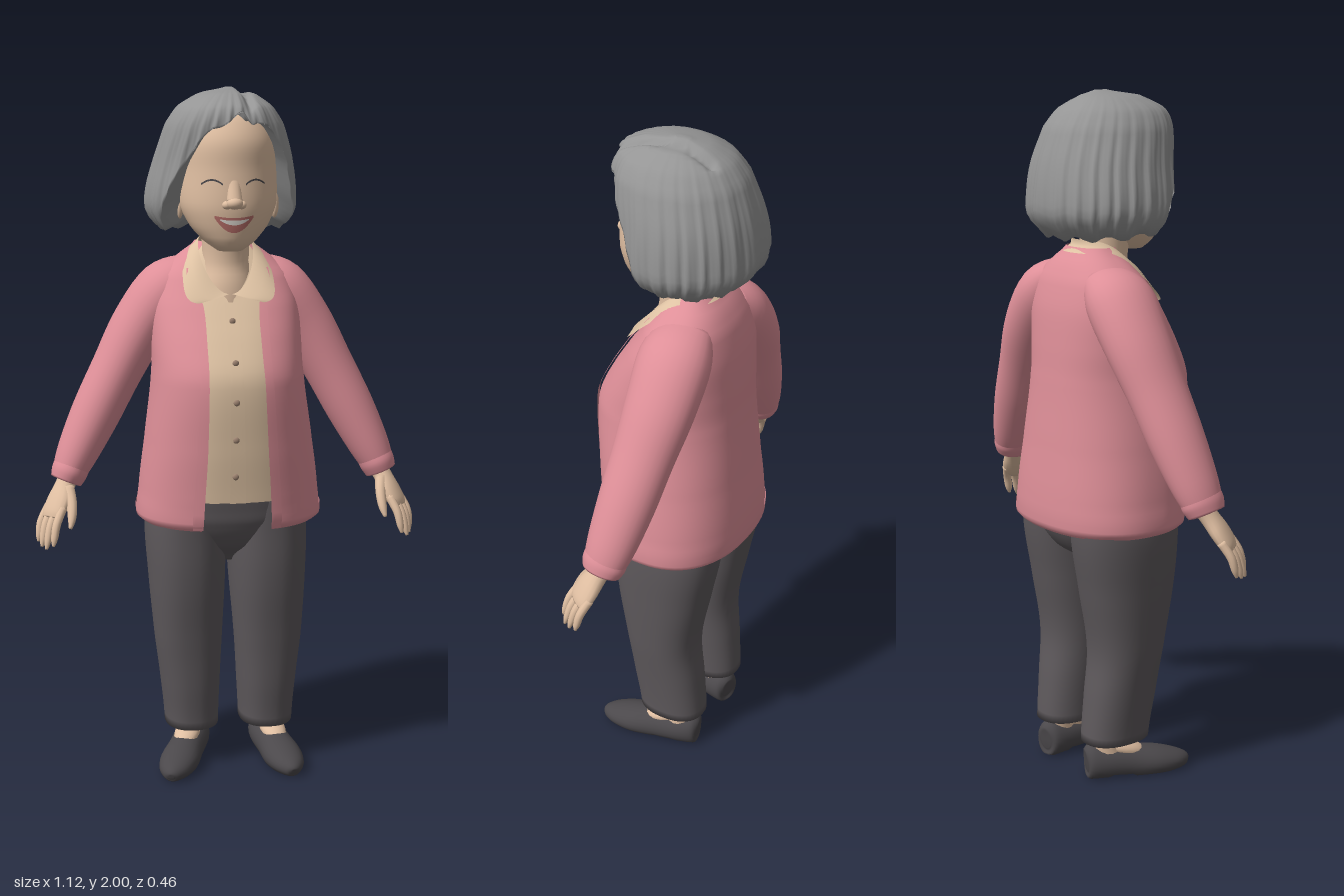
import * as THREE from 'three';

const mat = (name, color, side = THREE.FrontSide) => {
  const m = new THREE.MeshStandardMaterial({ color, side });
  m.name = name;
  return m;
};
const D = THREE.DoubleSide;
const skin = mat('skin', 0xe0bfa2), blouseTan = mat('blouse tan', 0xdec2a3, D), pink = mat('cardigan pink', 0xde8f98, D);
const grey = mat('hair grey', 0x959595, D), charcoal = mat('trouser charcoal', 0x5e595c, D), dark = mat('shoe dark', 0x4b484b);
const lipRed = mat('lip red', 0xb9706a, D), white = mat('teeth white', 0xe8e2da, D), buttonBrown = mat('button brown', 0x9c8270);

// Smooth interpolation between cross-section rows
function cr(S, i, f) {
  const p = k => S[Math.min(S.length - 1, Math.max(0, i + k))];
  const [A, B, C, E] = [p(-1), p(0), p(1), p(2)];
  return B.map((b, k) => {
    const a = A[k], c = C[k], d = E[k];
    return b + 0.5 * f * (c - a + f * (2 * a - 5 * b + 4 * c - d + f * (3 * (b - c) + d - a)));
  });
}
// Section at height y; the first column of each row is its height
function at(S, y) {
  let i = 0;
  while (i < S.length - 2 && y > S[i + 1][0]) i++;
  const f = THREE.MathUtils.clamp((y - S[i][0]) / (S[i + 1][0] - S[i][0]), 0, 1);
  const r = cr(S, i, f);
  r[0] = y;
  return r;
}
// Skin rows of points into a surface, optionally closed round with capped ends
function loft(rows, closed = true) {
  const n = rows[0].length, pos = rows.flat(2), idx = [], m = closed ? n : n - 1;
  for (let i = 0; i < rows.length - 1; i++) for (let j = 0; j < m; j++) {
    const a = i * n + j, b = i * n + (j + 1) % n;
    idx.push(a, b, b + n, a, b + n, a + n);
  }
  if (closed) [0, rows.length - 1].forEach((i, top) => {
    const c = pos.length / 3;
    pos.push(...[0, 1, 2].map(k => rows[i].reduce((s, q) => s + q[k], 0) / n));
    for (let j = 0; j < n; j++) {
      const a = i * n + j, b = i * n + (j + 1) % n;
      idx.push(...(top ? [a, b, c] : [b, a, c]));
    }
  });
  const g = new THREE.BufferGeometry();
  g.setAttribute('position', new THREE.Float32BufferAttribute(pos, 3));
  g.setIndex(idx);
  g.computeVertexNormals();
  return g;
}
// Point on a section [y, centreX, radiusX, zFront, zBack], angle 0 facing front
const BOXY = 0.86;
const pw = (v, p) => Math.sign(v) * Math.abs(v) ** p;
function ringPoint([y, cx, rx, zf, zb], a, p = 1, grow = 0) {
  return [cx + (rx + grow) * pw(Math.sin(a), p), y, (zf + zb) / 2 + ((zf - zb) / 2 + grow) * pw(Math.cos(a), p)];
}
// Upright body part; range gives the angles covered at each height
function stack(S, { n = 40, p = BOXY, steps = 30, y0 = S[0][0], y1 = S[S.length - 1][0], grow = 0, range } = {}) {
  const ys = [...Array(steps + 1).keys()].map(i => y0 + (y1 - y0) * i / steps);
  const rows = ys.map(y => {
    const r = at(S, y), [a0, a1] = range ? range(r) : [0, 2 * Math.PI];
    return Array.from({ length: n }, (_, j) => ringPoint(r, a0 + (a1 - a0) * j / (range ? n - 1 : n), p, grow));
  });
  return loft(rows, !range);
}
// Limb along a path of [x, y, z, depth radius, width radius]
function limb(S, n = 16, sub = 4, ref = new THREE.Vector3(0, 0, 1)) {
  const R = [];
  for (let i = 0; i < S.length - 1; i++) for (let k = 0; k < sub; k++) R.push(cr(S, i, k / sub));
  R.push(S[S.length - 1]);
  const P = R.map(r => new THREE.Vector3(r[0], r[1], r[2]));
  return loft(R.map((r, i) => {
    const d = P[Math.min(i + 1, P.length - 1)].clone().sub(P[Math.max(i - 1, 0)]).normalize();
    const u = ref.clone().addScaledVector(d, -ref.dot(d)).normalize(), w = d.clone().cross(u);
    return Array.from({ length: n }, (_, j) => {
      const a = j / n * 2 * Math.PI;
      return P[i].clone().addScaledVector(u, r[3] * Math.cos(a)).addScaledVector(w, r[4] * Math.sin(a)).toArray();
    });
  }));
}

const FACE = [[1.555, 0, 0.035, 0.125, 0.04], [1.575, 0, 0.068, 0.148, 0], [1.62, 0, 0.108, 0.162, -0.05],
  [1.68, 0, 0.136, 0.172, -0.1], [1.78, 0, 0.138, 0.168, -0.12], [1.86, 0, 0.132, 0.165, -0.12], [1.93, 0, 0.1, 0.125, -0.09], [1.96, 0, 0.04, 0.05, -0.03]];
// Cardigan body; the last column is half the front opening
const BODY = [[0.765, 0.008, 0.25, 0.18, -0.215, 0.1], [0.78, 0.008, 0.267, 0.192, -0.228, 0.1], [0.85, 0.008, 0.262, 0.2, -0.229, 0.097],
  [1, 0.006, 0.243, 0.217, -0.217, 0.088], [1.2, 0.002, 0.218, 0.226, -0.202, 0.08], [1.3, 0, 0.216, 0.18, -0.196, 0.078],
  [1.4, 0, 0.212, 0.118, -0.187, 0.08], [1.48, 0, 0.186, 0.065, -0.168, 0.1], [1.53, 0, 0.13, 0.03, -0.142, 0.09], [1.57, 0, 0.08, 0, -0.11, 0.06]];
const HAIR = [[1.59, -0.012, 0.16, 0.13, -0.17], [1.65, -0.012, 0.205, 0.16, -0.22], [1.7, -0.012, 0.211, 0.17, -0.227], [1.8, -0.006, 0.194, 0.175, -0.213],
  [1.9, -0.005, 0.164, 0.188, -0.18], [1.95, -0.005, 0.13, 0.17, -0.142], [1.985, 0, 0.075, 0.1, -0.085], [2, 0.01, 0.01, 0.01, -0.03]];
const HEM = [[0, 1.93], [0.5, 1.89], [0.86, 1.8], [1.1, 1.67], [1.27, 1.615], [3.15, 1.6]];

const faceZ = (x, y) => {
  const [, , rx, zf, zb] = at(FACE, y);
  return (zf + zb) / 2 + (zf - zb) / 2 * Math.sqrt(Math.max(0, 1 - (x / rx) ** 2));
};
// Thin patch following the face between two curves
function facePatch(x0, x1, lower, upper, lift) {
  const g = new THREE.PlaneGeometry(1, 1, 14, 4), q = g.attributes.position;
  for (let i = 0; i < q.count; i++) {
    const u = q.getX(i) * 2, x = (x0 + x1) / 2 + u * (x1 - x0) / 2;
    const y = THREE.MathUtils.lerp(lower(u), upper(u), q.getY(i) + 0.5);
    q.setXYZ(i, x, y, faceZ(x, y) + lift);
  }
  g.computeVertexNormals();
  return g;
}

// Bobbed hair with combed ridges and an off-centre parting
function hairGeometry() {
  const n = 180, T = 26, rows = [];
  for (let i = -1; i <= T; i++) {
    const t = 1 - Math.max(i, 0) / T, row = [];
    for (let j = 0; j < n; j++) {
      const a = -Math.PI + j / n * 2 * Math.PI;
      const side = Math.abs(a - 0.2 * Math.max(0, Math.cos(a)));
      const hem = at(HEM, side)[1] + 0.008 * Math.sin(11 * a);
      const y = 2 - (2 - hem) * t ** 1.6;
      const [x, , z] = ringPoint(at(HAIR, y), a, 0.95);
      const ridge = 1 + t * (0.018 * Math.sin(24 * a + 3 * Math.sin(3 * a) + 4 * t) + 0.009 * Math.sin(55 * a + 5 * t));
      const k = i < 0 ? 0.8 : ridge;
      const groove = z > -0.12 ? 0.018 * Math.exp(-(((x - 0.045) / 0.013) ** 2)) * (y > 1.9 ? 1 : 0) : 0;
      row.push([x * k, y + (i < 0 ? 0.015 : 0) - groove, (z + 0.02) * k - 0.02]);
    }
    rows.push(row);
  }
  return loft(rows);
}

export function createModel() {
  const model = new THREE.Group();
  const add = (name, geo, m, parent = model) => {
    const mesh = new THREE.Mesh(geo, m);
    mesh.name = name;
    parent.add(mesh);
    return mesh;
  };
  const ball = (name, x, y, z, rx, ry, rz, m) => add(name, new THREE.SphereGeometry(1, 20, 14).scale(rx, ry, rz).translate(x, y, z), m);

  // Head and face
  add('head', stack(FACE, { p: 1, n: 48 }), skin);
  add('neck', limb([[0, 1.36, 0, 0.08, 0.1], [0, 1.44, -0.005, 0.08, 0.085], [0, 1.52, -0.01, 0.07, 0.068], [0, 1.64, 0, 0.075, 0.07]], 28), skin);
  add('noseBridge', limb([[0, 1.765, 0.152, 0.012, 0.018], [0, 1.73, 0.163, 0.015, 0.019], [0, 1.695, 0.174, 0.018, 0.022]]), skin);
  ball('noseTip', 0, 1.692, 0.177, 0.023, 0.017, 0.021, skin);
  add('lips', facePatch(-0.054, 0.054, u => 1.61 + 0.042 * u * u, u => 1.652 + 0.006 * u * u, 0.005), lipRed);
  add('teeth', facePatch(-0.04, 0.04, u => 1.632 + 0.014 * u * u, u => 1.645 + 0.004 * u * u, 0.008), white);
  for (const s of [-1, 1]) {
    ball('nostril', s * 0.02, 1.687, 0.167, 0.014, 0.012, 0.015, skin);
    ball('ear', s * 0.135, 1.68, 0.025, 0.012, 0.042, 0.024, skin);
    add('closedEye', facePatch(s * 0.06 - 0.028, s * 0.06 + 0.028, u => 1.752 - 0.012 * u * u, u => 1.757 - 0.012 * u * u, 0.004), dark);
  }
  add('hair', hairGeometry(), grey);

  // Blouse with collar and buttons
  const opening = r => Math.asin(Math.min(1, (r[5] / r[2]) ** (1 / BOXY)));
  add('blouse', stack(BODY, {
    y0: 0.85, y1: 1.56, n: 60, grow: -0.012,
    range: r => { const g = Math.max(0, r[0] - 1.41) * 4; return [g, 2 * Math.PI - g]; },
  }), blouseTan);
  add('blousePlacket', stack(BODY, { y0: 0.85, y1: 1.41, n: 5, grow: -0.008, range: () => [-0.06, 0.06] }), blouseTan);
  for (let i = 0; i < 5; i++) {
    const y = 0.93 + i * 0.108;
    ball('blouseButton', 0, y, at(BODY, y)[3] - 0.007, 0.009, 0.009, 0.005, buttonBrown);
  }
  const collar = [0, 0.5, 1].map(v => Array.from({ length: 61 }, (_, j) => {
    const a = 0.06 + (2 * Math.PI - 0.12) * j / 60, front = ((1 + Math.cos(a)) / 2) ** 2, s = Math.sign(Math.sin(a));
    return [0.078 * Math.sin(a) + v * (0.04 * Math.sin(a) + s * 0.085 * front ** 2), 1.592 - 0.16 * front - v * (0.036 - 0.014 * front ** 3),
      -0.005 + 0.1 * Math.cos(a) + v * 0.02 * Math.cos(a) + 0.012 * Math.sin(v * Math.PI)];
  }));
  add('collar', loft(collar, false), blouseTan);

  // Open cardigan with front bands and hem band
  add('cardigan', stack(BODY, { n: 64, steps: 54, range: r => [opening(r), 2 * Math.PI - opening(r)] }), pink);
  add('cardiganHem', stack(BODY, { n: 64, steps: 4, y0: 0.77, y1: 0.81, grow: 0.003, range: r => [opening(r), 2 * Math.PI - opening(r)] }), pink);
  for (const s of [-1, 1]) {
    add('cardiganBand', stack(BODY, {
      n: 5, y0: 0.77, y1: 1.5, grow: 0.007,
      range: r => s > 0 ? [opening(r) - 0.02, opening(r) + 0.1] : [-opening(r) - 0.1, -opening(r) + 0.02],
    }), pink);
  }

  // Sleeves, cuffs and hands
  for (const s of [-1, 1]) {
    const side = a => a.map(([x, ...r]) => [s * x, ...r]);
    add('sleeve', limb(side([[0.09, 1.485, -0.07, 0.075, 0.05], [0.16, 1.43, -0.072, 0.104, 0.085], [0.24, 1.325, -0.072, 0.101, 0.083], [0.31, 1.2, -0.058, 0.09, 0.075],
      [0.375, 1.075, -0.042, 0.083, 0.071], [0.43, 0.965, -0.025, 0.072, 0.06], [0.458, 0.905, -0.014, 0.06, 0.048], [0.466, 0.885, -0.01, 0.05, 0.04]]), 28, 5), pink);
    add('cuff', limb(side([[0.447, 0.928, -0.018, 0.064, 0.052], [0.456, 0.908, -0.014, 0.065, 0.052], [0.466, 0.884, -0.01, 0.056, 0.046]]), 28), pink);
    const hand = new THREE.Group();
    hand.name = 'hand';
    hand.position.set(s * 0.463, 0.885, -0.008);
    hand.rotation.set(-0.12, -s * 0.62, s * 0.54);
    model.add(hand);
    add('palm', limb(side([[0, 0.03, 0, 0.032, 0.028], [0, -0.015, 0, 0.033, 0.026], [0, -0.06, 0.002, 0.045, 0.025], [0, -0.102, 0, 0.046, 0.02], [0, -0.122, 0, 0.036, 0.013]])), skin, hand);
    [0.08, 0.094, 0.1, 0.088].forEach((l, i) => {
      const z = -0.035 + i * 0.0233, e = z * 1.08;
      add('finger', limb(side([[0, -0.085, z, 0.0125, 0.013], [0, -0.11 - l * 0.3, e, 0.0125, 0.012], [-0.012, -0.11 - l * 0.75, e, 0.011, 0.01], [-0.02, -0.11 - l, e, 0.004, 0.004]]), 10), skin, hand);
    });
    add('thumb', limb(side([[0, -0.025, 0.02, 0.02, 0.018], [-0.012, -0.065, 0.048, 0.017, 0.015], [-0.022, -0.105, 0.063, 0.013, 0.012], [-0.027, -0.135, 0.069, 0.005, 0.005]]), 12), skin, hand);
  }

  // Trousers
  add('hips', stack([[0.64, 0.004, 0.06, 0.04, -0.07], [0.7, 0.004, 0.15, 0.11, -0.15], [0.77, 0.004, 0.225, 0.147, -0.19], [0.82, 0.004, 0.238, 0.157, -0.196], [0.88, 0.004, 0.225, 0.165, -0.19]]), charcoal);
  for (const s of [-1, 1]) {
    const shift = s > 0 ? 0.02 : 0;
    add('trouserLeg', stack([[0.118, 0.1, 0.08, 0.062, -0.148], [0.25, 0.105, 0.088, 0.08, -0.138], [0.4, 0.112, 0.1, 0.1, -0.126],
      [0.6, 0.116, 0.113, 0.132, -0.16], [0.75, 0.119, 0.118, 0.144, -0.187], [0.86, 0.115, 0.112, 0.15, -0.19]].map(([y, x, r, f, b]) =>
      [y, s * x + shift * Math.max(0, 1.5 - 1.9 * y), r, f, b])), charcoal);

    // Slip-on shoes, turned outward
    const foot = new THREE.Group();
    foot.name = 'foot';
    foot.position.set(s > 0 ? 0.14 : -0.1, 0, -0.06);
    foot.rotation.y = s > 0 ? 0.16 : -0.36;
    model.add(foot);
    const shoe = limb([[0, 0.05, -0.075, 0.03, 0.02], [0, 0.05, -0.065, 0.055, 0.042], [0, 0.045, -0.02, 0.054, 0.052], [0, 0.036, 0.06, 0.052, 0.053],
      [0, 0.03, 0.14, 0.045, 0.058], [0, 0.026, 0.2, 0.032, 0.046], [0, 0.022, 0.235, 0.02, 0.024], [0, 0.02, 0.243, 0.008, 0.008]], 24, 5, new THREE.Vector3(0, 1, 0));
    const q = shoe.attributes.position;
    for (let i = 0; i < q.count; i++) {
      const z = q.getZ(i), sole = z > -0.005 && z < 0.07 ? 0.012 : 0.001;
      q.setY(i, Math.max(sole, q.getY(i)));
    }
    shoe.computeVertexNormals();
    add('shoe', shoe, dark, foot);
    add('ankle', limb([[0, 0.2, -0.02, 0.04, 0.036], [0, 0.12, -0.02, 0.042, 0.038], [0, 0.06, -0.005, 0.045, 0.04]], 18), skin, foot);
    const instep = add('instep', new THREE.SphereGeometry(1, 20, 12).scale(0.038, 0.026, 0.075), skin, foot);
    instep.position.set(0, 0.082, 0.04);
    instep.rotation.x = 0.3;
  }
  return model;
}
